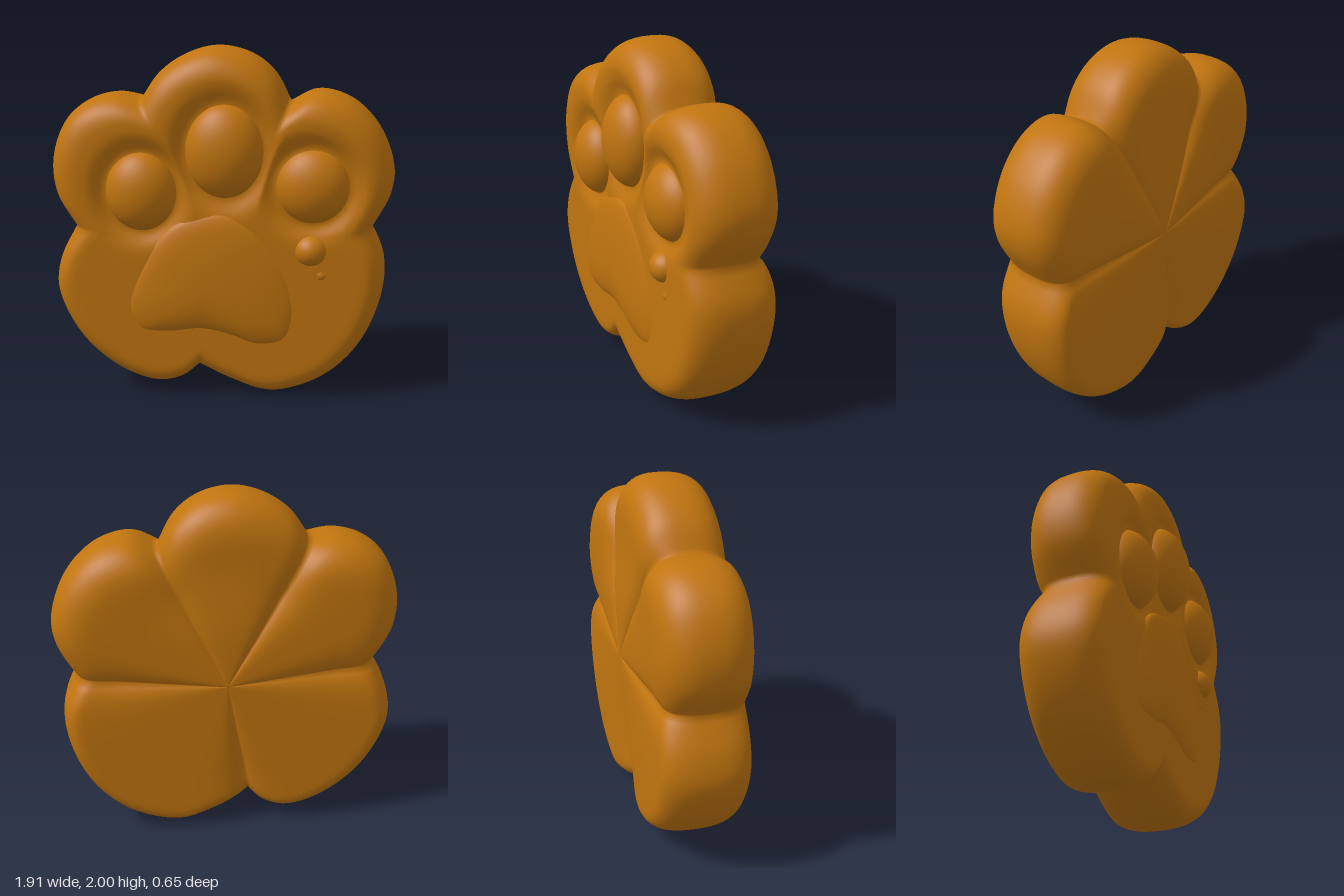
import * as THREE from 'three';

const CX = 0, CY = 0.95; // middle of the paw outline
const smooth = THREE.MathUtils.smoothstep;

// Outline lobes, clockwise from the front; each lobe ends in a sharp notch
const LOBES = [
  [[-0.45, 1.72], [-0.35, 1.86], [-0.2, 1.96], [-0.03, 2.0], [0.15, 1.96], [0.28, 1.86], [0.37, 1.7]],
  [[0.37, 1.7], [0.52, 1.765], [0.7, 1.72], [0.86, 1.57], [0.95, 1.35], [0.94, 1.2], [0.84, 1.0]],
  [[0.84, 1.0], [0.92, 0.8], [0.9, 0.55], [0.78, 0.28], [0.58, 0.09], [0.3, 0.0], [0.08, 0.06], [-0.13, 0.16]],
  [[-0.13, 0.16], [-0.23, 0.08], [-0.38, 0.05], [-0.6, 0.13], [-0.82, 0.33], [-0.95, 0.62], [-0.93, 0.8], [-0.83, 1.0]],
  [[-0.83, 1.0], [-0.94, 1.2], [-0.95, 1.4], [-0.87, 1.6], [-0.75, 1.7], [-0.6, 1.74], [-0.45, 1.72]],
];
const PALM = [[-0.53, 0.55], [-0.47, 0.75], [-0.35, 0.95], [-0.2, 1.07], [0, 1.11], [0.15, 1.06], [0.3, 0.9],
  [0.4, 0.7], [0.43, 0.5], [0.38, 0.36], [0.22, 0.33], [0.08, 0.38], [-0.1, 0.42], [-0.3, 0.4], [-0.47, 0.42]];

// Toe pads and beads: centre, radii, top height
const PADS = [
  { name: 'rightToePad', x: -0.44, y: 1.22, rx: 0.2, ry: 0.225, top: 0.33 },
  { name: 'middleToePad', x: 0.02, y: 1.45, rx: 0.215, ry: 0.26, top: 0.315 },
  { name: 'leftToePad', x: 0.5, y: 1.26, rx: 0.21, ry: 0.215, top: 0.262 },
  { name: 'bead', x: 0.5, y: 0.9, rx: 0.095, ry: 0.09, top: 0.25 },
  { name: 'smallBead', x: 0.56, y: 0.76, rx: 0.055, ry: 0.05, top: 0.2 },
];

const curve = (pts, closed) =>
  new THREE.CatmullRomCurve3(pts.map(([x, y]) => new THREE.Vector3(x, y, 0)), closed, 'centripetal');

// Front face, slightly tilted, sunk in a soft moat round each toe pad
function frontZ(x, y) {
  let dip = 0;
  for (const p of PADS.slice(0, 3)) {
    const d = Math.hypot((x - p.x) / p.rx, (y - p.y) / p.ry);
    dip = Math.max(dip, 0.04 * Math.exp(-(((d - 1) / 0.3) ** 2)));
  }
  return 0.225 - 0.055 * x - dip;
}

// Back face, creased along the lines running in from the notches
function backZ(x, y) {
  const angle = Math.atan2(y - CY, x - CX), r = Math.hypot(x - CX, y - CY);
  let z = -0.268 - 0.065 * x;
  z += 0.03 * smooth(y, 1.2, 1.7) * (1 - smooth(Math.abs(x), 0.2, 0.5));
  for (const lobe of LOBES) {
    const a = Math.atan2(lobe[0][1] - CY, lobe[0][0] - CX);
    const d = Math.abs(Math.atan2(Math.sin(angle - a), Math.cos(angle - a)));
    z += 0.06 * Math.min(1, r / 0.6) * Math.exp(-d / 0.1);
  }
  return z;
}

// Joins rows of points (clockwise from the front, front to back) into a smooth skin
function skin(rows) {
  const n = rows[0].length, pos = [], idx = [];
  rows.forEach((row) => row.forEach((p) => pos.push(...p)));
  for (let i = 0; i < rows.length - 1; i++) {
    for (let j = 0; j < n; j++) {
      const a = i * n + j, b = i * n + ((j + 1) % n);
      idx.push(a, b, a + n, b, b + n, a + n);
    }
  }
  const g = new THREE.BufferGeometry();
  g.setAttribute('position', new THREE.Float32BufferAttribute(pos, 3));
  g.setIndex(idx);
  g.computeVertexNormals();
  return g;
}

function bodyGeometry() {
  const outline = LOBES.flatMap((l) => curve(l, false).getSpacedPoints(44).slice(0, -1));
  const rows = [];
  // One ring, moved inward by inset(y) and shrunk to scale
  const ring = (inset, scale, zOf) => rows.push(outline.map((p) => {
    const dx = p.x - CX, dy = p.y - CY, r = Math.hypot(dx, dy);
    const k = ((r - inset(p.y)) / r) * scale;
    const x = CX + dx * k, y = CY + dy * k;
    return [x, y, zOf(x, y)];
  }));
  const frontRound = (y) => 0.15 + 0.07 * smooth(y, 0.85, 1.3);
  const backRound = (y) => 0.13 + 0.14 * smooth(y, 0.95, 1.2);
  const mid = (x) => -0.02 - 0.06 * x;

  for (let i = 0; i < 36; i++) ring(frontRound, Math.max(0.002, i / 36), frontZ);
  // Rounded rim from front to back
  const steps = 12, e = 0.78;
  for (let i = -steps; i <= steps; i++) {
    const t = (Math.abs(i) / steps) * Math.PI / 2;
    const c = Math.pow(Math.max(0, Math.cos(t)), e), s = Math.pow(Math.sin(t), e);
    const round = i <= 0 ? frontRound : backRound, face = i <= 0 ? frontZ : backZ;
    ring((y) => round(y) * (1 - c), 1, (x, y) => mid(x) + (face(x, y) - mid(x)) * s);
  }
  for (let i = 19; i >= 0; i--) ring(backRound, Math.max(0.002, i / 20), backZ);
  return skin(rows);
}

// Low domed palm pad with a steep edge
function palmGeometry() {
  const cx = -0.05, cy = 0.68, rows = [];
  const outline = curve(PALM, true).getSpacedPoints(120).slice(0, -1);
  for (let i = 0; i <= 20; i++) {
    const k = Math.max(0.002, Math.sin((i / 20) * Math.PI / 2));
    const h = -0.03 + 0.08 * Math.pow(Math.max(0, 1 - k * k), 0.4);
    rows.push(outline.map((p) => {
      const x = cx + (p.x - cx) * k, y = cy + (p.y - cy) * k;
      return [x, y, 0.222 - 0.055 * x + h];
    }));
  }
  return skin(rows);
}

export function createModel() {
  const group = new THREE.Group();
  group.name = 'paw';
  const caramel = new THREE.MeshStandardMaterial({ color: 0xc0740f });
  caramel.name = 'caramel';
  const add = (name, geometry) => {
    const mesh = new THREE.Mesh(geometry, caramel);
    mesh.name = name;
    group.add(mesh);
    return mesh;
  };
  add('body', bodyGeometry());
  add('palmPad', palmGeometry());
  for (const p of PADS) {
    const depth = Math.min(0.15, p.rx);
    const pad = add(p.name, new THREE.SphereGeometry(1, 40, 28));
    pad.scale.set(p.rx, p.ry, depth);
    pad.position.set(p.x, p.y, p.top - depth);
  }
  return group;
}
